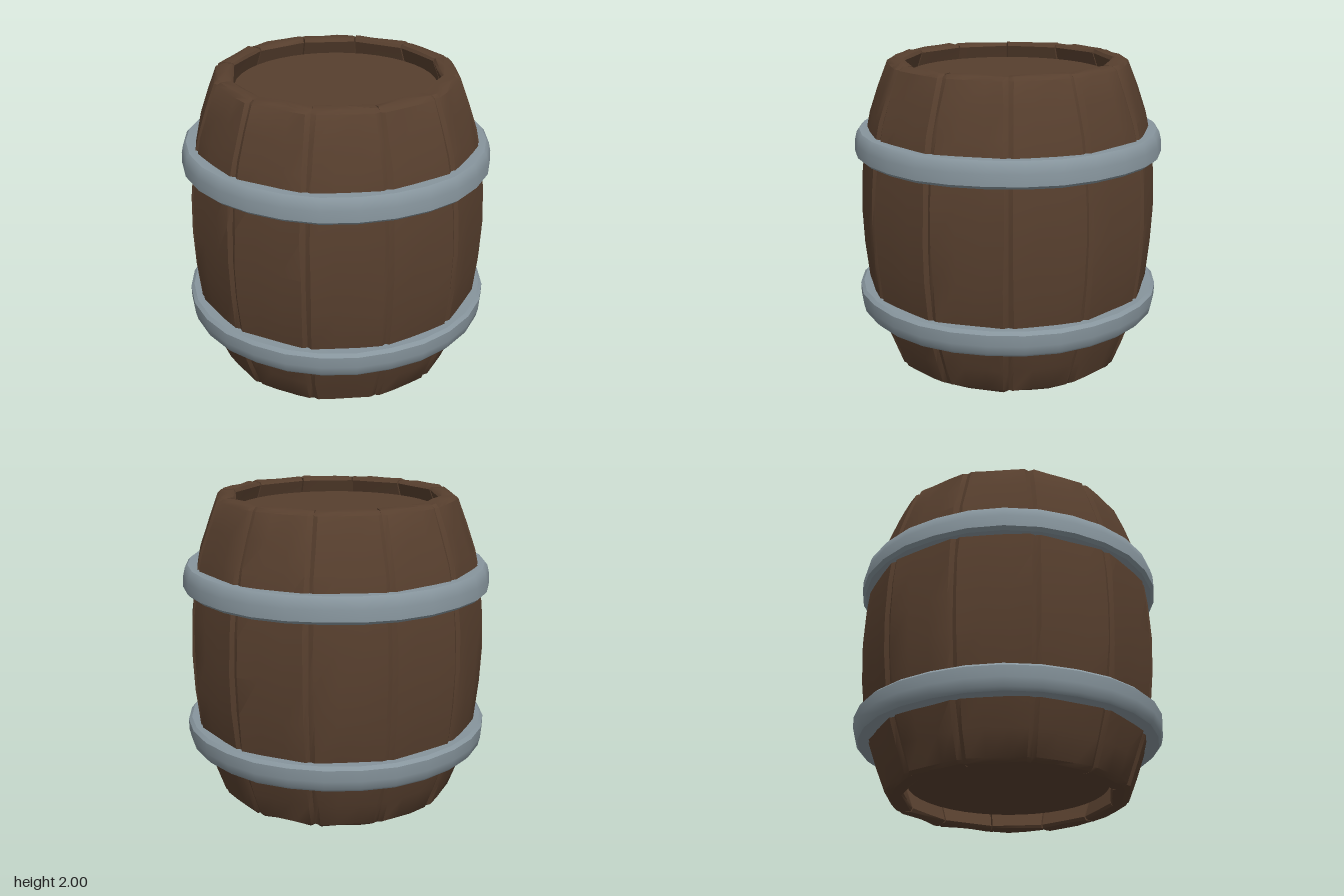
import * as THREE from 'three';
import { toCreasedNormals } from 'three/addons/utils/BufferGeometryUtils.js';

const STAVES = 12;
const HALF = Math.PI / STAVES;
const FIRST_SEAM = THREE.MathUtils.degToRad(3);

// Barrel belly: corner radius at each height
const BELLY = [
  [0, 0.76], [0.025, 0.785], [0.18, 0.845], [0.35, 0.905], [0.52, 0.942], [0.76, 0.968], [1, 0.977],
  [1.24, 0.968], [1.48, 0.942], [1.65, 0.905], [1.82, 0.845], [1.975, 0.785], [2, 0.76],
];

function seeded(seed) {
  let s = seed;
  return () => {
    s = (s * 16807) % 2147483647;
    return s / 2147483647;
  };
}

// One flat plank with worn edges, bent along the belly, facing +z
function staveGeometry(rand) {
  const positions = [], index = [];
  const n = 9;
  const last = BELLY.length - 1;
  const wobble = (amount) => (rand() - 0.5) * amount;
  const endWear = [0, 1].map(() => Array.from({ length: n }, () => rand() * 0.014));
  BELLY.forEach(([y, r], row) => {
    const end = row === 0 || row === last;
    const a = r * Math.cos(HALF);
    const w = r * Math.sin(HALF) - 0.005;
    const inner = Math.max(0.665, r - 0.12) + (end ? 0.012 : 0);
    const ai = inner * Math.cos(HALF);
    const wi = inner * Math.sin(HALF) - 0.005;
    const bevel = 0.02 + rand() * 0.012;
    const ring = [
      [-w, a - 0.022], [-w + bevel, a + wobble(0.006)], [-w * 0.3, a + 0.004 + wobble(0.006)],
      [w * 0.35, a + 0.004 + wobble(0.006)], [w - bevel, a + wobble(0.006)], [w, a - 0.022],
      [wi, ai], [0, ai + wobble(0.008)], [-wi, ai],
    ];
    ring.forEach(([x, z], j) => {
      let py = y;
      if (row === 0) py += endWear[0][j];
      if (row === last) py -= endWear[1][j];
      positions.push(x, py, z);
    });
  });
  for (let i = 0; i < last; i++) {
    for (let j = 0; j < n; j++) {
      const k = (j + 1) % n;
      const a = i * n + j, b = i * n + k, c = b + n, d = a + n;
      index.push(a, b, c, a, c, d);
    }
  }
  // End grain
  const mid = 0.71 * Math.cos(HALF);
  const bottom = positions.length / 3;
  positions.push(0, 0, mid, 0, 2, mid);
  for (let j = 0; j < n; j++) {
    const k = (j + 1) % n;
    index.push(bottom, k, j, bottom + 1, last * n + j, last * n + k);
  }
  const geo = new THREE.BufferGeometry();
  geo.setAttribute('position', new THREE.Float32BufferAttribute(positions, 3));
  geo.setIndex(index);
  return toCreasedNormals(geo, 0.6);
}

// Hammered metal band; the closed profile runs up the outside
function hoopGeometry(lower) {
  let profile = [
    [0.88, 1.39], [0.975, 1.388], [0.997, 1.408], [0.995, 1.48],
    [0.982, 1.535], [0.965, 1.554], [0.88, 1.554], [0.88, 1.39],
  ];
  if (lower) profile = profile.map(([r, y]) => [r, 1.9 - y]).reverse();
  const geo = new THREE.LatheGeometry(profile.map(([r, y]) => new THREE.Vector2(r, y)), 28);
  const p = geo.attributes.position;
  for (let i = 0; i < p.count; i++) {
    const t = Math.atan2(p.getX(i), p.getZ(i));
    const dent = 1 + 0.003 * Math.sin(5 * t + (lower ? 2 : 0)) * Math.cos(8 * t);
    p.setXYZ(i, p.getX(i) * dent, p.getY(i) + 0.002 * Math.sin(7 * t), p.getZ(i) * dent);
  }
  return toCreasedNormals(geo, 0.75);
}

export function createModel() {
  const wood = new THREE.MeshStandardMaterial({ color: 0x573f2e });
  wood.name = 'dark wood';
  const steel = new THREE.MeshStandardMaterial({ color: 0x87959d });
  steel.name = 'grey steel';

  const barrel = new THREE.Group();
  barrel.name = 'barrel';
  const add = (name, geo, mat, y = 0) => {
    const mesh = new THREE.Mesh(geo, mat);
    mesh.name = name;
    mesh.position.y = y;
    barrel.add(mesh);
    return mesh;
  };

  // Staves
  const rand = seeded(4217);
  for (let i = 0; i < STAVES; i++) {
    add('stave', staveGeometry(rand), wood).rotation.y = FIRST_SEAM + (2 * i + 1) * HALF;
  }

  // Recessed heads
  add('topHead', new THREE.CylinderGeometry(0.643, 0.643, 0.07, 40), wood, 1.865);
  add('bottomHead', new THREE.CylinderGeometry(0.643, 0.643, 0.07, 40), wood, 0.135);

  // Hoops
  add('upperHoop', hoopGeometry(false), steel);
  add('lowerHoop', hoopGeometry(true), steel);

  return barrel;
}
